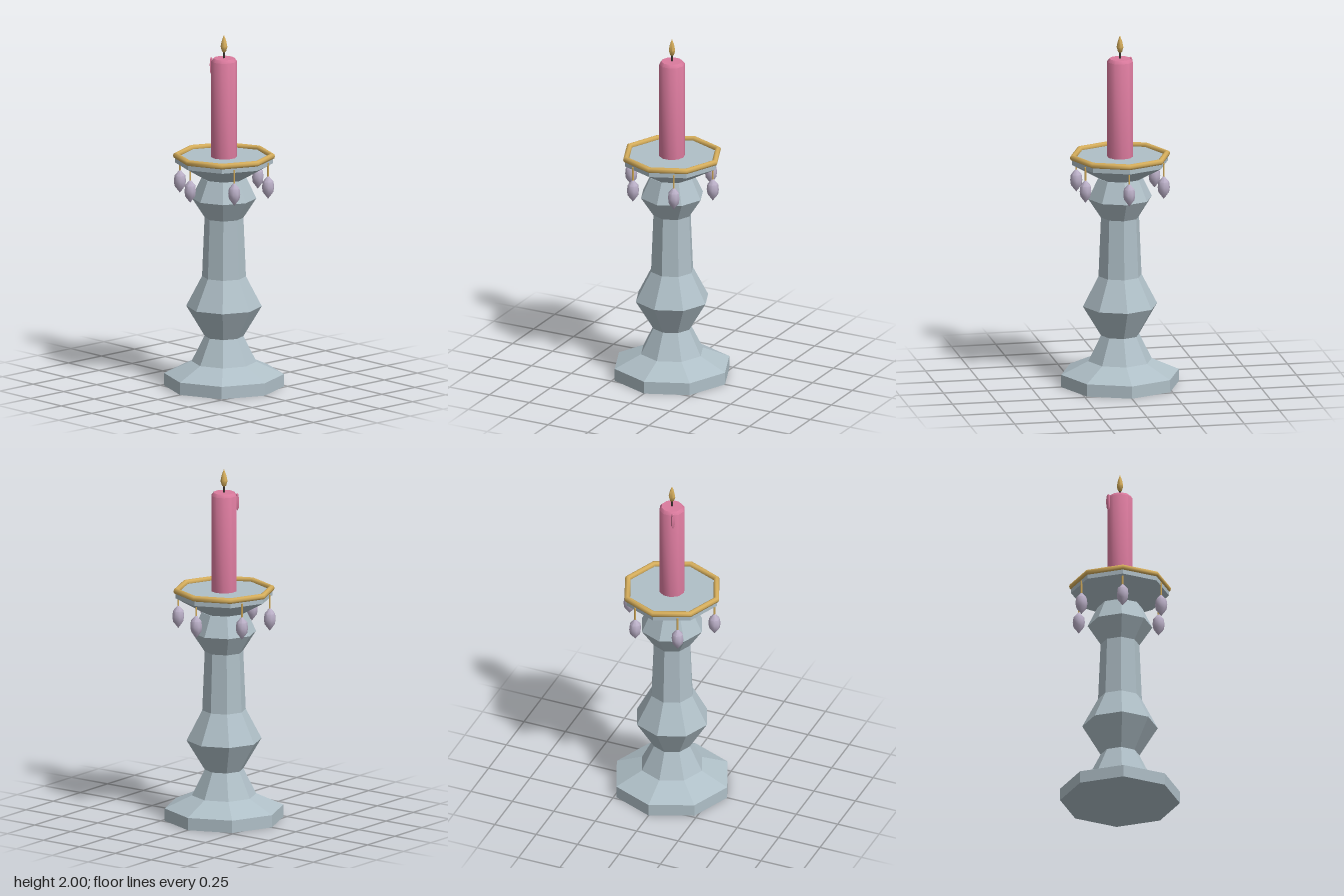
import * as THREE from 'three';
import { toCreasedNormals } from 'three/addons/utils/BufferGeometryUtils.js';

const mat = (name, color) => {
  const m = new THREE.MeshStandardMaterial({ color });
  m.name = name;
  return m;
};

export function createModel() {
  const stone = mat('grey stone', 0xafbfc7);
  const gold = mat('gold', 0xd6ae5c);
  const pink = mat('pink wax', 0xda7a9d);
  const crystal = mat('lavender crystal', 0xbbb0c8);
  const dark = mat('dark wick', 0x3a3230);
  stone.flatShading = true;

  const root = new THREE.Group();
  root.name = 'candlestick';
  const add = (parent, name, geometry, material, x = 0, y = 0, z = 0) => {
    const mesh = new THREE.Mesh(geometry, material);
    mesh.name = name;
    mesh.position.set(x, y, z);
    parent.add(mesh);
    return mesh;
  };
  // Faceted turned shape from [radius, height] pairs, listed bottom to top
  const turned = (points, sides, start = 0, crease = 0.6) => toCreasedNormals(
    new THREE.LatheGeometry(points.map(p => new THREE.Vector2(...p)), sides, start), crease);

  // Octagonal foot, baluster column and dish
  add(root, 'foot', turned([[0, 0], [0.333, 0], [0.333, 0.07], [0.18, 0.14], [0, 0.14]], 8), stone);
  add(root, 'column', turned([[0.18, 0.14], [0.108, 0.285], [0.21, 0.455], [0.122, 0.625],
    [0.108, 0.96], [0.18, 1.07], [0.125, 1.185], [0, 1.185]], 8), stone);
  add(root, 'dish', turned([[0, 1.18], [0.112, 1.18], [0.272, 1.27], [0.272, 1.305], [0, 1.305]], 8), stone);

  // Gold rim following the octagon
  add(root, 'rim', new THREE.TorusGeometry(0.267, 0.017, 8, 8), gold, 0, 1.31, 0).rotation.x = Math.PI / 2;

  // Ten-sided candle with a bevelled top, a wax drip, wick and flame
  const side = Math.PI / 2;
  add(root, 'candle', turned([[0, 1.3], [0.072, 1.3], [0.072, 1.85], [0.059, 1.867], [0, 1.867]],
    10, side, 0.68), pink);
  add(root, 'drip', turned([[0, 1.765], [0.011, 1.785], [0.012, 1.83], [0.008, 1.86], [0, 1.866]], 4),
    pink, -0.034, 0, -0.067);
  add(root, 'wick', new THREE.CylinderGeometry(0.005, 0.005, 0.06, 6), dark, 0, 1.88, 0);
  add(root, 'flame', turned([[0, 1.897], [0.012, 1.905], [0.02, 1.932], [0.013, 1.965], [0, 2]],
    6, side, 1.1), gold);

  // Six crystal drops on gold wires
  const dropShape = turned([[0, 1.083], [0.03, 1.122], [0.034, 1.15], [0.03, 1.182], [0, 1.216]],
    8, Math.PI / 8, 0.9);
  const wireShape = new THREE.CylinderGeometry(0.005, 0.005, 0.085, 6);
  for (let i = 0; i < 6; i++) {
    const a = i * Math.PI / 3;
    const pendant = new THREE.Group();
    pendant.name = 'pendant';
    pendant.position.set(0.256 * Math.cos(a), 0, 0.256 * Math.sin(a));
    pendant.rotation.y = -a;
    add(pendant, 'wire', wireShape, gold, 0, 1.245, 0);
    add(pendant, 'crystalDrop', dropShape, crystal);
    root.add(pendant);
  }
  return root;
}
